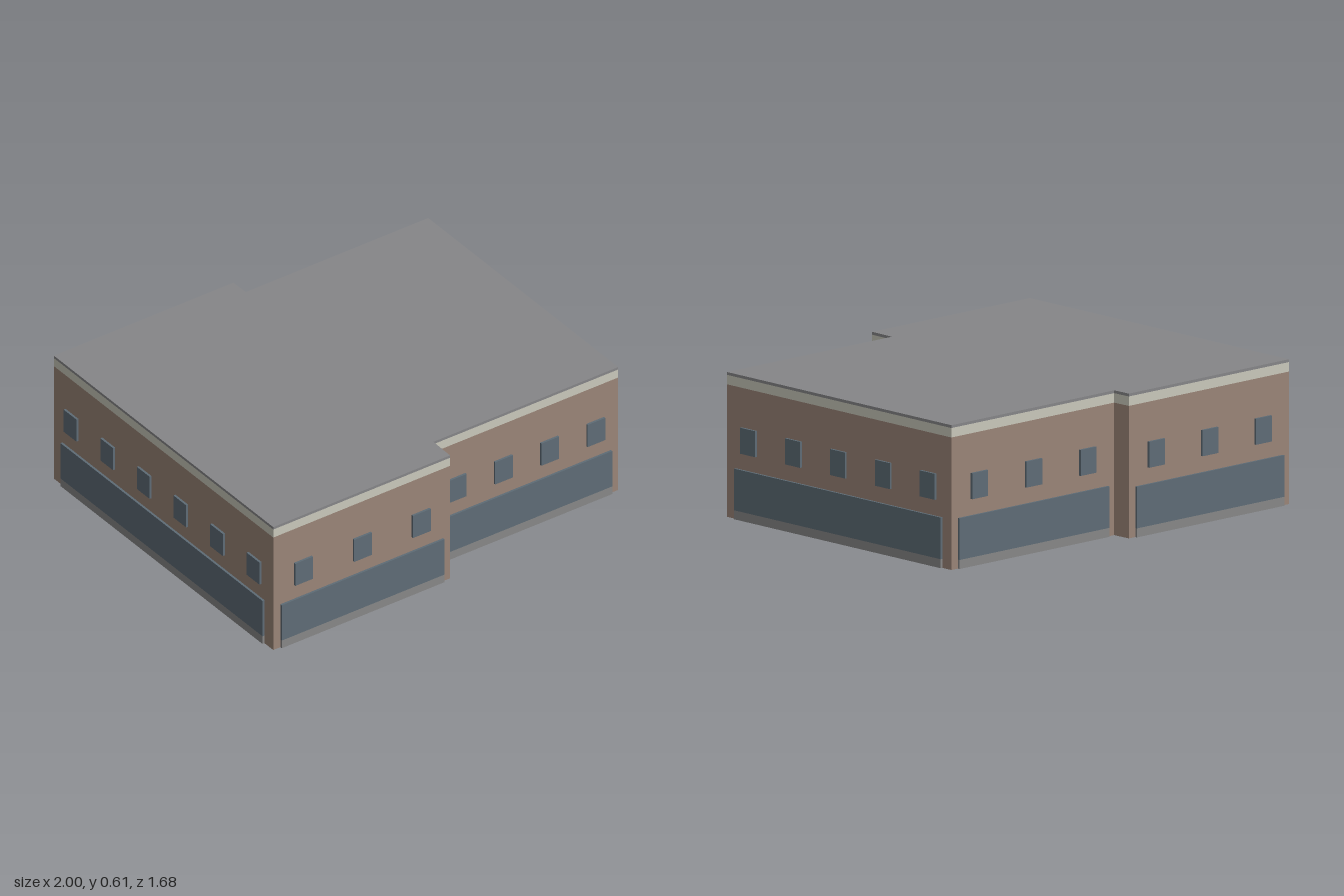
import * as THREE from 'three';

const mat = (name, color) => {
  const m = new THREE.MeshStandardMaterial({ color });
  m.name = name;
  return m;
};

export function createModel() {
  const brick = mat('brick brown', 0x9a8477);
  const glass = mat('window blue grey', 0x5e6c76);
  const cream = mat('cornice cream', 0xc9c8bb);
  const plinthGrey = mat('plinth grey', 0x878787);
  const roofGrey = mat('roof grey', 0x868688);

  const building = new THREE.Group();
  building.name = 'building';

  // Footprint corners [x, z], starting at the front, and windows on the wall that follows each
  const corners = [
    { p: [-0.82, 0.832], windows: 3 },
    { p: [0.072, 0.727], windows: 0 },
    { p: [0.06, 0.607], windows: 4 },
    { p: [0.992, 0.499], windows: 5 },
    { p: [0.84, -0.836], windows: 3 },
    { p: [-0.08, -0.728], windows: 0 },
    { p: [-0.092, -0.813], windows: 3 },
    { p: [-0.998, -0.706], windows: 6 },
  ];
  const footprint = new THREE.Shape(corners.map(({ p }) => new THREE.Vector2(p[0], -p[1])));

  // Stacked storeys of the same outline
  const layer = (name, y0, y1, material) => {
    const geo = new THREE.ExtrudeGeometry(footprint, { depth: y1 - y0, bevelEnabled: false });
    geo.rotateX(-Math.PI / 2);
    const mesh = new THREE.Mesh(geo, material);
    mesh.position.y = y0;
    mesh.name = name;
    building.add(mesh);
  };
  layer('walls', 0, 0.56, brick);
  layer('cornice', 0.56, 0.6, cream);
  layer('roof', 0.6, 0.612, roofGrey);

  // Shopfront, plinth and windows, half sunk into each wall
  const panel = (wall, name, x, y0, y1, width, material) => {
    const mesh = new THREE.Mesh(new THREE.BoxGeometry(width, y1 - y0, 0.02), material);
    mesh.position.set(x, (y0 + y1) / 2, 0);
    mesh.name = name;
    wall.add(mesh);
  };
  corners.forEach(({ p: [x0, z0], windows }, i) => {
    if (!windows) return;
    const [x1, z1] = corners[(i + 1) % corners.length].p;
    const length = Math.hypot(x1 - x0, z1 - z0);
    const wall = new THREE.Group();
    wall.name = 'wallDetails';
    wall.position.set((x0 + x1) / 2, 0, (z0 + z1) / 2);
    wall.rotation.y = Math.atan2(z0 - z1, x1 - x0);
    panel(wall, 'plinth', 0, 0, 0.038, length * 0.92, plinthGrey);
    panel(wall, 'shopfront', 0, 0.038, 0.214, length * 0.92, glass);
    for (let k = 0; k < windows; k++) {
      panel(wall, 'window', ((k + 0.5) / windows - 0.5) * length, 0.283, 0.393, 0.09, glass);
    }
    building.add(wall);
  });

  return building;
}
